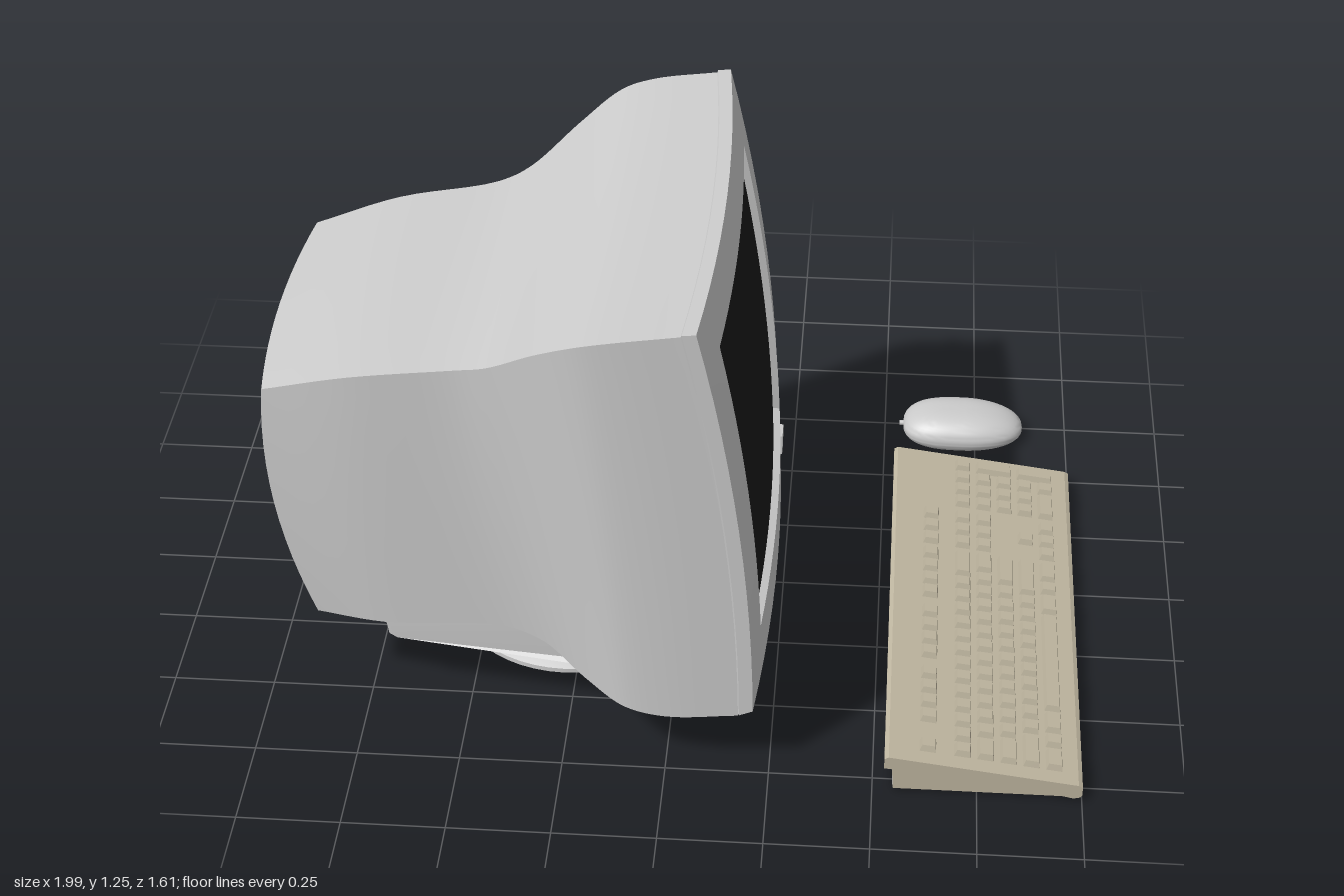
import * as THREE from 'three';
import { mergeGeometries, toCreasedNormals } from 'three/addons/utils/BufferGeometryUtils.js';

const CZ = 0.14;      // monitor centre in z
const HZ = 0.6125;    // monitor half width
const lerp = THREE.MathUtils.lerp;
const grey = new THREE.MeshStandardMaterial({ color: 0xcccccc });
const beige = new THREE.MeshStandardMaterial({ color: 0xbfb6a0 });
const dark = new THREE.MeshStandardMaterial({ color: 0x1a1a1a });

function add(parent, name, geometry, material = grey) {
  const mesh = new THREE.Mesh(geometry, material);
  mesh.name = name;
  parent.add(mesh);
  return mesh;
}

// Rectangle of points in the y-z plane, bent in x by xAt(y, z)
function ring(hz, y0, y1, xAt, n = 12) {
  const corners = [[y0, hz], [y0, -hz], [y1, -hz], [y1, hz]];
  const points = [];
  corners.forEach(([ya, za], i) => {
    const [yb, zb] = corners[(i + 1) % 4];
    for (let k = 0; k < n; k++) {
      const y = lerp(ya, yb, k / n), z = lerp(za, zb, k / n);
      points.push(new THREE.Vector3(xAt(y, z), y, z + CZ));
    }
  });
  return points;
}

// Rings from the rim of an area to its middle, for closed ends
function capRings(hz, y0, y1, xAt, scales) {
  const mid = (y0 + y1) / 2, h = (y1 - y0) / 2;
  return scales.map(k => ring(hz * k, mid - h * k, mid + h * k, xAt));
}

// Skin a list of equal closed rings
function loft(rings, crease = 0.5) {
  const n = rings[0].length, index = [];
  for (let i = 0; i < rings.length - 1; i++) {
    for (let j = 0; j < n; j++) {
      const a = i * n + j, b = i * n + (j + 1) % n;
      index.push(a, b, b + n, a, b + n, a + n);
    }
  }
  const g = new THREE.BufferGeometry().setFromPoints(rings.flat());
  g.setIndex(index);
  return toCreasedNormals(g, crease);
}

// Extrude an x-y outline along z from z0 to z1
function slab(outline, z0, z1) {
  const shape = new THREE.Shape(outline.map(p => new THREE.Vector2(...p)));
  return new THREE.ExtrudeGeometry(shape, { depth: z1 - z0, bevelEnabled: false }).translate(0, 0, z0);
}

// Bulging front surface of the monitor
const frontX = (y, z) => {
  const t = (y - 0.2) / 1.05;
  return lerp(0.21, 0.075, t) + 0.12 * t * (1 - t) + 0.03 * (1 - (z / HZ) ** 2);
};

function housing() {
  // Top line carries x, y and half width; bottom line carries x and y
  const top = new THREE.CatmullRomCurve3([
    [-0.96, 0.9, 0.377], [-0.75, 0.965, 0.41], [-0.5, 1.01, 0.43], [-0.42, 1.04, 0.46],
    [-0.3, 1.13, 0.535], [-0.2, 1.195, 0.595], [-0.12, 1.22, 0.61], [0.04, 1.245, 0.61],
  ].map(p => new THREE.Vector3(...p)));
  const bottom = new THREE.CatmullRomCurve3([
    [-0.87, 0.25], [-0.7, 0.25], [-0.4, 0.27], [-0.3, 0.25],
    [-0.2, 0.21], [-0.1, 0.175], [0, 0.162], [0.175, 0.175],
  ].map(p => new THREE.Vector3(p[0], p[1], 0)));
  const section = s => {
    const a = top.getPoint(s), b = bottom.getPoint(s);
    const xAt = (y, z) => {
      const t = (y - b.y) / (a.y - b.y);
      return lerp(b.x, a.x, t) + lerp(-0.04, 0.03, s) * 4 * t * (1 - t)
        + lerp(-0.025, 0.03, s) * (1 - (z / a.z) ** 2);
    };
    return [a.z, b.y, a.y, xAt];
  };
  const rings = capRings(...section(0), [0, 0.25, 0.5, 0.75]);
  for (let i = 0; i <= 42; i++) rings.push(ring(...section(i / 42)));
  return loft(rings);
}

function createMonitor() {
  const monitor = new THREE.Group();
  monitor.name = 'monitor';
  add(monitor, 'housing', housing());

  // Frame around the screen, with an inward step
  const behind = d => (y, z) => frontX(y, z) - d;
  add(monitor, 'bezel', loft([
    ring(HZ - 0.02, 0.19, 1.235, behind(0.045)),
    ring(HZ, 0.178, 1.25, behind(0.033)),
    ring(HZ, 0.192, 1.253, frontX),
    ring(0.46, 0.33, 1.125, frontX),
    ring(0.452, 0.338, 1.117, behind(0.03)),
  ]));
  add(monitor, 'screen', loft(capRings(0.46, 0.33, 1.125, behind(0.018), [1, 0.75, 0.5, 0.25, 0])), dark);

  const button = add(monitor, 'powerButton', new THREE.BoxGeometry(0.02, 0.056, 0.056));
  button.position.set(frontX(0.258, -0.42) - 0.004, 0.258, CZ - 0.423);

  // Tray under the housing, narrower towards the back
  const tray = slab([[-0.71, 0.235], [-0.7, 0.175], [-0.68, 0.165], [-0.1, 0.158], [-0.05, 0.149],
    [0, 0.145], [0.06, 0.15], [0.17, 0.17], [0.17, 0.2], [-0.2, 0.28], [-0.69, 0.28]], -1, 1);
  const p = tray.attributes.position;
  for (let i = 0; i < p.count; i++) {
    const t = THREE.MathUtils.clamp((p.getX(i) + 0.7) / 0.7, 0, 1);
    p.setZ(i, CZ + p.getZ(i) * lerp(0.36, 0.46, t));
  }
  add(monitor, 'tray', toCreasedNormals(tray, 0.5));

  // Swivel stand
  const profile = [[0, 0.018], [0.29, 0.018], [0.298, 0.024], [0.298, 0.036], [0.285, 0.042], [0.25, 0.056],
    [0.21, 0.08], [0.18, 0.106], [0.165, 0.113], [0.15, 0.115], [0.152, 0.118], [0.175, 0.135], [0.195, 0.165], [0, 0.165]];
  const stand = new THREE.LatheGeometry(profile.map(q => new THREE.Vector2(...q)), 48);
  add(monitor, 'stand', toCreasedNormals(stand, 0.6)).position.set(-0.277, 0, CZ);
  return monitor;
}

function createKeyboard() {
  const keyboard = new THREE.Group();
  keyboard.name = 'keyboard';
  const slope = 0.132, deckY = x => 0.11 - (x - 0.535) * slope;
  add(keyboard, 'keyboardBase', slab([[0.55, 0.007], [0.985, 0.007], [0.985, 0.03], [0.545, 0.08]], -0.47, 0.79), beige);
  add(keyboard, 'keyboardDeck', slab([[0.527, 0.076], [0.7, 0.058], [0.85, 0.037], [0.98, 0.01], [0.995, 0.014],
    [1, 0.022], [1, 0.044], [0.99, 0.05], [0.537, 0.11], [0.527, 0.104]], -0.48, 0.8), beige);
  for (const z of [-0.4, 0.72]) {
    add(keyboard, 'keyboardFoot', new THREE.BoxGeometry(0.055, 0.045, 0.1)).position.set(0.575, 0.0225, z);
  }

  // Tapered keys; z is the left edge, sizes are in key units
  const U = 0.0543, caps = [];
  const key = (x, z, wide = 1, deep = 1) => {
    const w = wide * U - 0.009, d = deep * 0.055 - 0.01;
    const g = new THREE.BoxGeometry(d, 0.024, w);
    const p = g.attributes.position;
    for (let i = 0; i < p.count; i++) {
      if (p.getY(i) > 0) {
        p.setX(i, p.getX(i) * (1 - 0.014 / d));
        p.setZ(i, p.getZ(i) * (1 - 0.014 / w));
      }
    }
    const cx = x + (deep - 1) * 0.0275;
    g.computeVertexNormals();
    caps.push(g.rotateZ(-Math.atan(slope)).translate(cx, deckY(cx) + 0.004, z - wide * U / 2));
  };
  const row = (x, z, widths) => widths.forEach(w => { key(x, z, w); z -= w * U; });
  const ones = n => Array(n).fill(1);
  const rowX = i => 0.713 + i * 0.055;
  const mainZ = 0.765, navZ = -0.06, padZ = -0.24;

  // Main block and function row
  [
    [...ones(13), 2],
    [1.5, ...ones(12), 1.5],
    [1.75, ...ones(11), 2.25],
    [2.25, ...ones(10), 2.75],
    [1.5, 1, 1.5, 7, 1.5, 1, 1.5],
  ].forEach((widths, i) => row(rowX(i), mainZ, widths));
  key(0.63, mainZ);
  for (const start of [2, 6.5, 11]) row(0.63, mainZ - start * U, ones(4));
  row(0.63, navZ, ones(3));

  // Navigation and arrow keys
  for (const i of [0, 1, 4]) row(rowX(i), navZ, ones(3));
  key(rowX(3), navZ - U);

  // Number pad with two tall keys
  row(rowX(0), padZ, ones(4));
  for (const i of [1, 2, 3]) row(rowX(i), padZ, ones(3));
  row(rowX(4), padZ, [2, 1]);
  for (const i of [1, 3]) key(rowX(i), padZ - 3 * U, 1, 2);
  add(keyboard, 'keys', mergeGeometries(caps), beige);
  return keyboard;
}

function createMouse() {
  const mouse = new THREE.Group();
  mouse.name = 'mouse';
  // Flat-bottomed dome, squarer at the cable end
  const g = new THREE.SphereGeometry(1, 40, 28);
  const p = g.attributes.position;
  const soften = (v, e) => Math.sign(v) * Math.abs(v) ** e;
  for (let i = 0; i < p.count; i++) {
    const x = p.getX(i), y = p.getY(i), z = p.getZ(i);
    p.setXYZ(i, 0.165 * (x < 0 ? soften(x, 0.7) : x),
      y > 0 ? 0.03 + 0.058 * y : 0.03 * (1 + Math.max(-1, 1.6 * y)),
      0.0975 * soften(z, x < 0 ? 0.7 : 0.8 - 0.1 * (1 - x)));
  }
  add(mouse, 'mouseBody', toCreasedNormals(g, 0.9));
  const nub = add(mouse, 'cableStub', new THREE.CylinderGeometry(0.007, 0.007, 0.02, 12).rotateZ(Math.PI / 2));
  nub.position.set(-0.165, 0.03, 0);
  mouse.position.set(0.715, 0, -0.712);
  return mouse;
}

export function createModel() {
  const model = new THREE.Group();
  model.name = 'desktopSet';
  model.add(createMonitor(), createKeyboard(), createMouse());
  return model;
}
